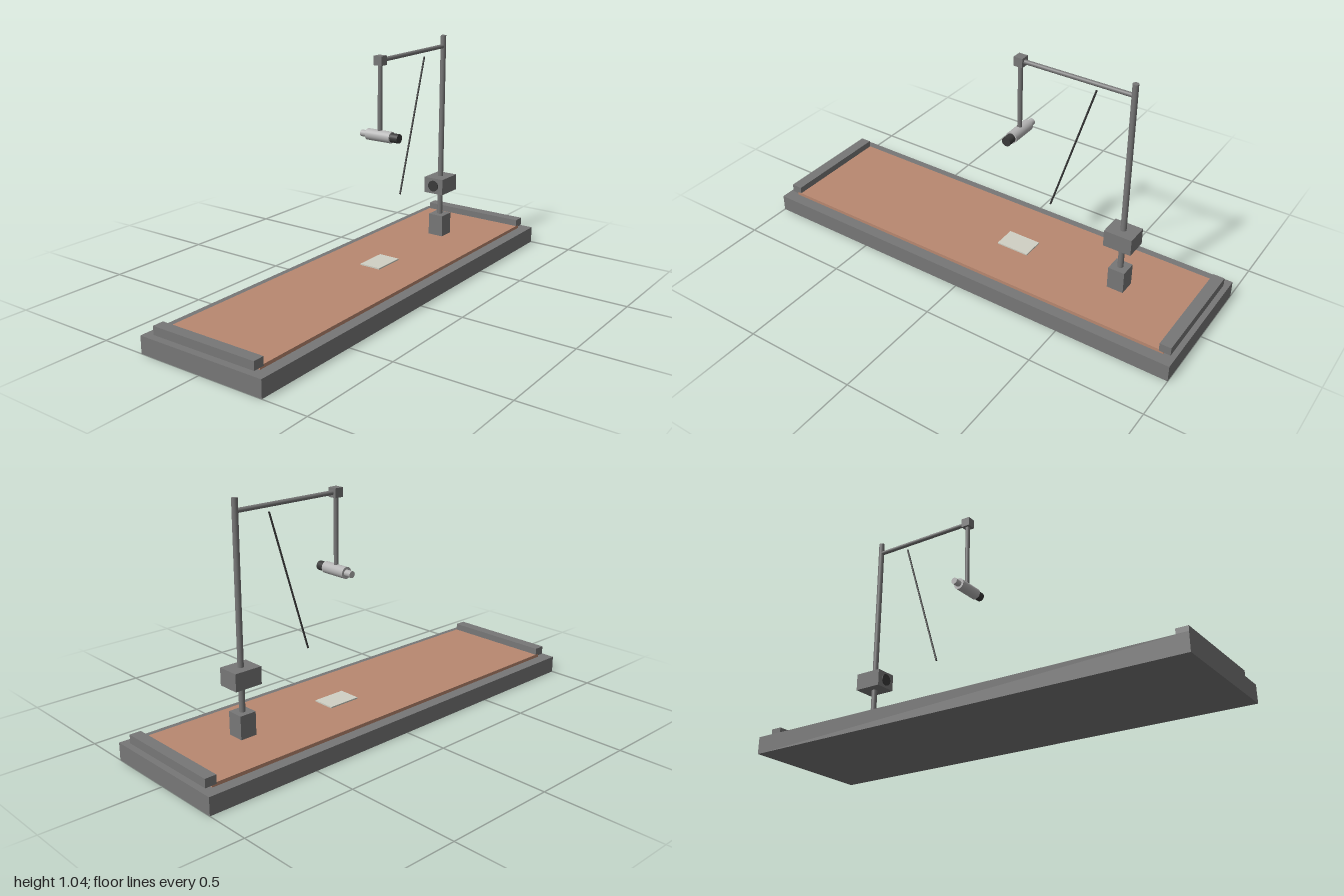
import * as THREE from 'three';

export function createModel() {
  const model = new THREE.Group();
  const mat = (color) => new THREE.MeshStandardMaterial({ color });
  const grey = mat(0x777777);
  const dark = mat(0x3a3a3a);
  const light = mat(0xb4b4b4);
  const copper = mat(0xb98870);
  const pale = mat(0xd0d0c4);

  const add = (name, geometry, material) => {
    const mesh = new THREE.Mesh(geometry, material);
    mesh.name = name;
    model.add(mesh);
    return mesh;
  };
  // Box from its ranges on each axis
  const box = (name, [x0, x1], [y0, y1], [z0, z1], material) =>
    add(name, new THREE.BoxGeometry(x1 - x0, y1 - y0, z1 - z0), material)
      .position.set((x0 + x1) / 2, (y0 + y1) / 2, (z0 + z1) / 2);
  // Round rod between two points
  const rod = (name, from, to, radius, material) => {
    const a = new THREE.Vector3(...from);
    const b = new THREE.Vector3(...to);
    const dir = b.clone().sub(a);
    const mesh = add(name, new THREE.CylinderGeometry(radius, radius, dir.length(), 24), material);
    mesh.position.copy(a).add(b).multiplyScalar(0.5);
    mesh.quaternion.setFromUnitVectors(new THREE.Vector3(0, 1, 0), dir.normalize());
  };

  // Table: slab, copper sheet, end rails and small plate
  box('base', [-1, 1], [0, 0.075], [-0.3, 0.3], grey);
  box('sheet', [-0.95, 0.95], [0.075, 0.09], [-0.25, 0.25], copper);
  box('leftRail', [0.93, 0.98], [0.083, 0.12], [-0.25, 0.25], grey);
  box('rightRail', [-0.98, -0.93], [0.083, 0.12], [-0.25, 0.25], grey);
  box('samplePlate', [0.05, 0.2], [0.09, 0.096], [-0.05, 0.05], pale);

  // Stand: foot, pole and box with a round dark window
  const poleX = 0.622;
  box('poleFoot', [0.585, 0.659], [0.088, 0.19], [-0.037, 0.037], grey);
  rod('pole', [poleX, 0.1, 0], [poleX, 1.04, 0], 0.0125, grey);
  box('poleBox', [0.56, 0.684], [0.302, 0.376], [-0.049, 0.049], grey);
  rod('boxWindow', [0.6, 0.339, 0], [0.555, 0.339, 0], 0.026, dark);

  // Arm, joint and hanger
  const headX = 0.122;
  rod('arm', [headX, 0.99, 0], [poleX, 0.99, 0], 0.0095, grey);
  box('armJoint', [headX - 0.02, headX + 0.02], [0.97, 1.01], [-0.02, 0.02], grey);
  rod('hanger', [headX, 0.665, 0], [headX, 0.98, 0], 0.01, grey);

  // Scope lying along z
  const scopeY = 0.666;
  rod('scopeBody', [headX, scopeY, -0.062], [headX, scopeY, 0.062], 0.025, light);
  rod('scopeFront', [headX, scopeY, 0.05], [headX, scopeY, 0.1], 0.02, dark);
  rod('scopeEyepiece', [headX, scopeY, -0.095], [headX, scopeY, -0.05], 0.0145, light);

  // Loose slanted cable
  rod('cable', [0.28, 0.367, 0], [0.463, 0.962, 0], 0.004, dark);

  return model;
}
